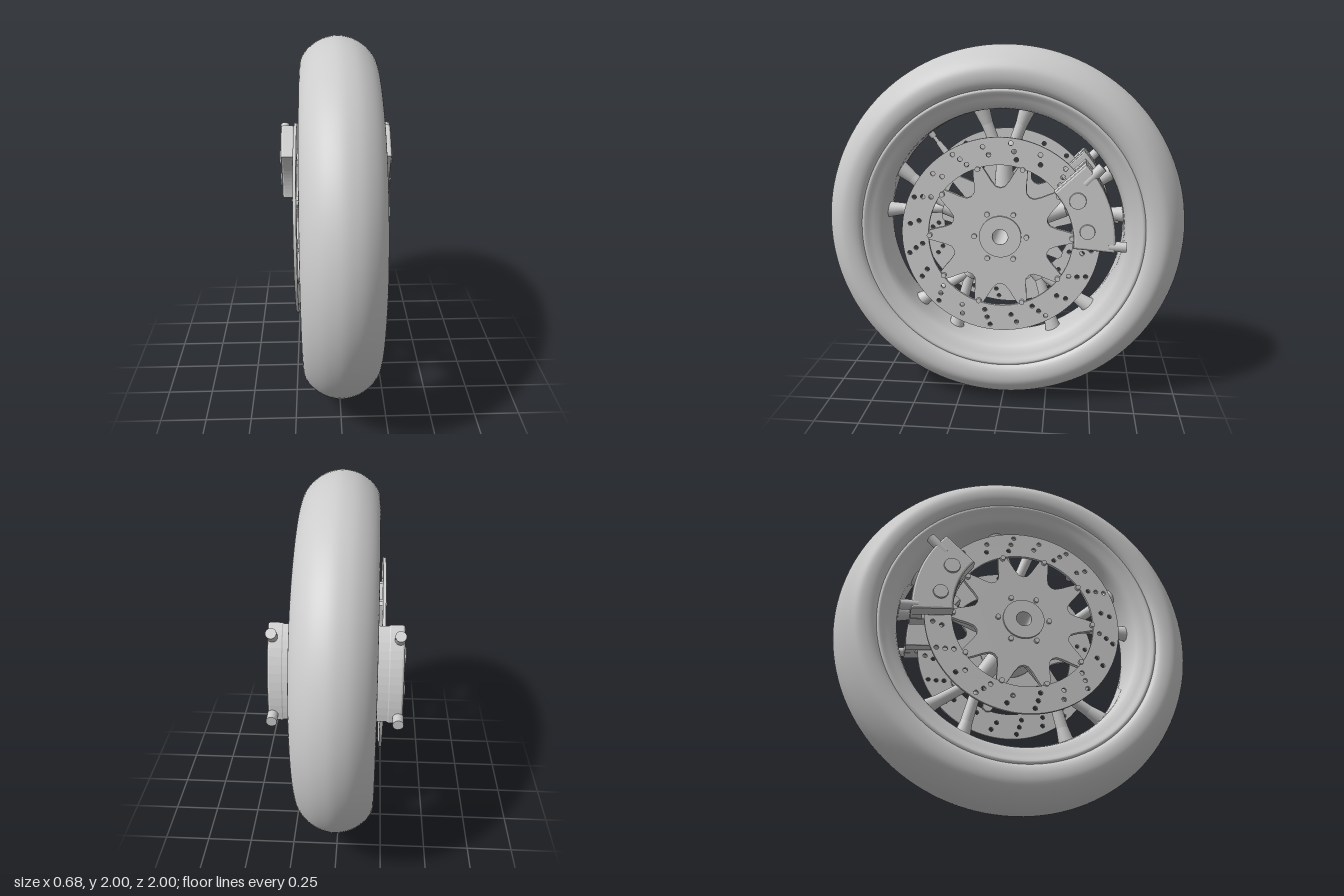
import * as THREE from 'three';

const V2 = (x, y) => new THREE.Vector2(x, y);
const polar = (r, deg) => V2(r * Math.cos(deg * Math.PI / 180), r * Math.sin(deg * Math.PI / 180));
const ring = (r, n, cx = 0, cy = 0) =>
  Array.from({ length: n }, (_, i) => polar(r, i * 360 / n).add(V2(cx, cy)));

export function createModel() {
  const metal = new THREE.MeshStandardMaterial({ color: 0xcccccc });
  metal.name = 'light grey';

  // The wheel is laid out in the XY plane with its axle along Z, then turned.
  const wheel = new THREE.Group();
  wheel.name = 'wheel';

  const add = (name, geometry) => {
    const mesh = new THREE.Mesh(geometry, metal);
    mesh.name = name;
    wheel.add(mesh);
    return mesh;
  };

  // Surface of revolution about the axle from [radius, width] pairs
  const turned = (name, pts, segments = 96) =>
    add(name, new THREE.LatheGeometry(pts.map(p => V2(p[0], p[1])), segments).rotateX(Math.PI / 2));

  // Flat outline with holes, spanning a range of width
  const plate = (name, outline, holes, z0, z1, bevel = 0) => {
    const shape = new THREE.Shape(outline);
    holes.forEach(h => shape.holes.push(new THREE.Path(h)));
    const geometry = new THREE.ExtrudeGeometry(shape, {
      depth: z1 - z0 - 2 * bevel, bevelEnabled: bevel > 0, bevelSize: bevel,
      bevelThickness: bevel, bevelOffset: -bevel, bevelSegments: 2,
    });
    return add(name, geometry.translate(0, 0, z0 + bevel));
  };

  // Round rod between two points
  const rod = (name, a, b, ra, rb, sides = 20) => {
    const dir = b.clone().sub(a);
    const mesh = add(name, new THREE.CylinderGeometry(rb, ra, dir.length(), sides));
    mesh.position.copy(a).addScaledVector(dir, 0.5);
    mesh.quaternion.setFromUnitVectors(new THREE.Vector3(0, 1, 0), dir.normalize());
    return mesh;
  };
  const at = (p, z) => new THREE.Vector3(p.x, p.y, z);

  // Tyre
  const half = [[1, 0], [0.99, 0.06], [0.97, 0.108], [0.935, 0.155], [0.895, 0.188],
    [0.86, 0.2], [0.82, 0.199], [0.79, 0.188], [0.775, 0.172]];
  const section = [...half.slice(1).reverse().map(([r, w]) => [r, -w]), ...half];
  const tyreCurve = new THREE.SplineCurve(section.map(p => V2(...p)));
  turned('tyre', tyreCurve.getPoints(48).map(p => [p.x, p.y]), 128);

  // Rim with rounded lips and a curved barrel
  const lip = [[0.775, 0.172], [0.768, 0.178], [0.758, 0.178], [0.745, 0.168], [0.72, 0.155],
    [0.695, 0.145], [0.678, 0.13], [0.668, 0.1], [0.665, 0.05]];
  turned('rim', [...lip, ...lip.slice().reverse().map(([r, w]) => [r, -w])], 128);

  // Hub with flared ends and a through bore
  turned('hub', [[0.14, -0.205], [0.17, -0.2], [0.17, -0.17], [0.145, -0.12], [0.135, -0.05],
    [0.135, 0.05], [0.145, 0.12], [0.17, 0.17], [0.17, 0.2], [0.14, 0.205]], 48);
  turned('hubBore', [[0.042, 0.24], [0.042, -0.24]], 32);

  // Five forked spokes
  for (let i = 0; i < 5; i++) {
    const angle = 90 + i * 72;
    rod('spokeTrunk', at(polar(0.11, angle), 0), at(polar(0.36, angle), 0), 0.062, 0.046);
    for (const s of [-1, 1]) {
      const root = at(polar(0.33, angle), 0);
      const tip = at(polar(0.685, angle + s * 11), 0);
      const knee = root.clone().lerp(tip, 0.72);
      rod('spokeBranch', root, knee, 0.028, 0.033);
      rod('spokeFoot', knee, tip, 0.033, 0.047);
    }
  }

  // Air valve
  const valve = (r0, r1, ra, rb) =>
    rod('valve', at(polar(r0, 128), 0), at(polar(r1, 128), 0), ra, rb, 14);
  valve(0.68, 0.53, 0.01, 0.01);
  valve(0.67, 0.635, 0.02, 0.016);
  valve(0.6, 0.53, 0.014, 0.018);

  // Brake disc drillings: slanted groups of three and two
  const drillings = [];
  for (let i = 0; i < 20; i++) {
    const radii = i % 2 ? [0.425, 0.465, 0.505] : [0.445, 0.49];
    radii.forEach(r => {
      const c = polar(r, i * 18 - 9 + (r - 0.465) * 65);
      drillings.push(ring(0.0125, 10, c.x, c.y));
    });
  }

  // Star outline of the disc carrier
  const star = [];
  for (let i = 0; i < 10; i++) {
    for (const [d, r] of [[-18, 0.265], [-13, 0.273], [-9, 0.305], [-6, 0.35], [-3.5, 0.392],
      [0, 0.4], [3.5, 0.392], [6, 0.35], [9, 0.305], [13, 0.273]]) {
      star.push(polar(r, 36 * i + d));
    }
  }

  // Caliper outline: a sector of a ring
  const sector = (r0, r1, a0, a1) => {
    const outer = [], inner = [];
    for (let i = 0; i <= 12; i++) {
      const a = a0 + (a1 - a0) * i / 12;
      outer.push(polar(r1, a));
      inner.unshift(polar(r0, a));
    }
    return [...outer, ...inner];
  };

  // Both brake sides
  for (const s of [-1, 1]) {
    const span = (a, b) => s > 0 ? [a, b] : [-b, -a];

    plate('brakeDisc', ring(0.533, 96), [ring(0.388, 96), ...drillings], ...span(0.222, 0.238));
    plate('discCarrier', star, [ring(0.042, 32)], ...span(0.204, 0.228));
    plate('hubCap', ring(0.113, 48), [ring(0.042, 32)], ...span(0.226, 0.24));
    for (let i = 0; i < 6; i++) {
      const p = polar(0.14, i * 60);
      rod('carrierBolt', at(p, s * 0.22), at(p, s * 0.243), 0.014, 0.014, 12);
    }
    for (let i = 0; i < 10; i++) {
      const p = polar(0.383, i * 36);
      rod('discButton', at(p, s * 0.21), at(p, s * 0.247), 0.014, 0.014, 12);
    }

    // Caliper: two halves straddling the disc, joined by a bridge
    plate('caliperOuter', sector(0.39, 0.607, -4.5, 43), [], ...span(0.25, 0.332), 0.012);
    plate('caliperInner', sector(0.41, 0.607, -4.5, 43), [], ...span(0.135, 0.208), 0.008);
    plate('caliperBridge', sector(0.545, 0.605, -4, 42.5), [], ...span(0.15, 0.31));
    for (const [x, y, r] of [[0.407, 0.225, 0.046], [0.46, 0.064, 0.042]]) {
      rod('pistonCap', at(V2(x, y), s * 0.32), at(V2(x, y), s * 0.342), r, r - 0.004, 28);
    }
    rod('caliperFitting', at(V2(0.44, 0.31), s * 0.308), at(V2(0.527, 0.397), s * 0.308), 0.027, 0.027);
    rod('caliperFitting', at(V2(0.57, -0.015), s * 0.308), at(V2(0.663, -0.018), s * 0.308), 0.027, 0.027);
  }

  // Turn the axle across the model and stand it on the ground
  wheel.rotation.y = Math.PI / 2;
  wheel.position.y = 1;
  const model = new THREE.Group();
  model.name = 'motorcycleWheel';
  model.add(wheel);
  return model;
}
